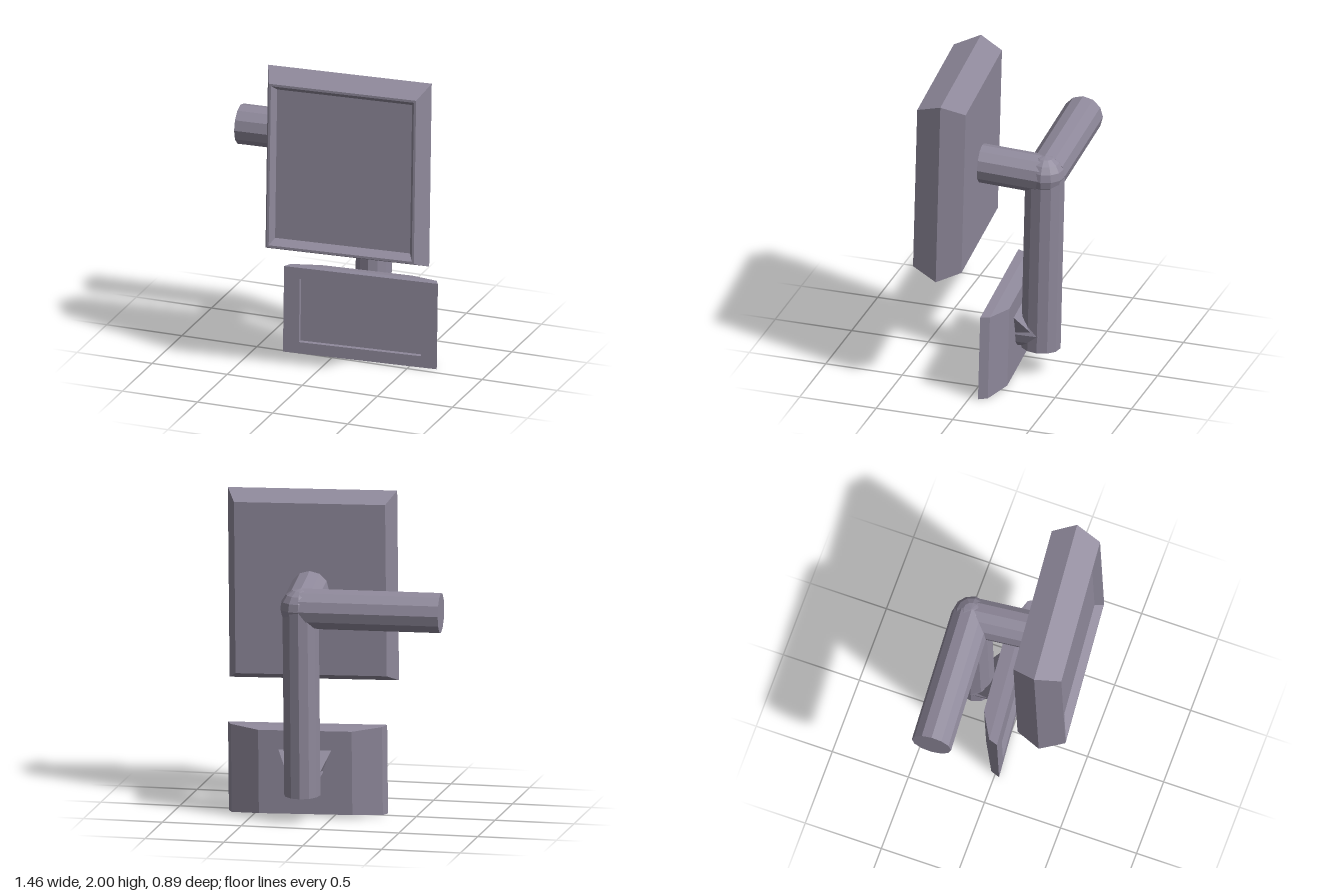
import * as THREE from 'three';
import { ConvexGeometry } from 'three/addons/geometries/ConvexGeometry.js';

const material = new THREE.MeshStandardMaterial({ color: 0x8f899b, flatShading: true });

function part(name, geometry) {
  const mesh = new THREE.Mesh(geometry, material);
  mesh.name = name;
  return mesh;
}

// Closed shell through rectangular loops [halfWidth, halfHeight, z], from recess floor to back
function rectLoft(cx, cy, loops) {
  const points = [], index = [];
  for (const [w, h, z] of loops) {
    for (const [sx, sy] of [[-1, -1], [1, -1], [1, 1], [-1, 1]]) {
      points.push(cx + sx * w, cy + sy * h, z);
    }
  }
  index.push(0, 1, 2, 0, 2, 3);
  for (let i = 0; i < loops.length - 1; i++) {
    for (let j = 0; j < 4; j++) {
      const a = i * 4 + j, b = i * 4 + (j + 1) % 4;
      index.push(a, a + 4, b + 4, a, b + 4, b);
    }
  }
  const e = (loops.length - 1) * 4;
  index.push(e, e + 2, e + 1, e, e + 3, e + 2);
  const g = new THREE.BufferGeometry();
  g.setAttribute('position', new THREE.Float32BufferAttribute(points, 3));
  g.setIndex(index);
  const flat = g.toNonIndexed();
  flat.computeVertexNormals();
  return flat;
}

// Faceted pipe between two points
function pipe(name, from, to, radius) {
  const a = new THREE.Vector3(...from), b = new THREE.Vector3(...to);
  const dir = b.clone().sub(a);
  const mesh = part(name, new THREE.CylinderGeometry(radius, radius, dir.length(), 12));
  mesh.position.copy(a).add(b).multiplyScalar(0.5);
  mesh.quaternion.setFromUnitVectors(new THREE.Vector3(0, 1, 0), dir.normalize());
  return mesh;
}

export function createModel() {
  const group = new THREE.Group();
  group.name = 'signalOnBracket';

  // Large head: sunken screen, thin rim, flared sides, flat back
  group.add(part('head', rectLoft(0.174, 1.39, [
    [0.436, 0.49, 0.395], [0.462, 0.525, 0.445], [0.476, 0.54, 0.445],
    [0.529, 0.604, 0.286], [0.472, 0.545, 0.137],
  ])));

  // Lower plate: straight recess in front, bevelled back
  group.add(part('lowerPlate', rectLoft(0.181, 0.287, [
    [0.395, 0.208, -0.03], [0.395, 0.208, 0.003], [0.497, 0.282, 0.003],
    [0.472, 0.28, -0.053], [0.292, 0.265, -0.133],
  ])));

  // Bracket pipes meeting in one elbow
  const elbow = [0.182, 1.364, -0.27];
  group.add(pipe('sideArm', [-0.698, 1.36, -0.297], elbow, 0.127));
  group.add(pipe('headArm', elbow, [0.178, 1.385, 0.16], 0.122));
  const post = pipe('post', [0.182, 0.178, -0.272], elbow, 0.126);
  post.scale.x = 0.9;
  group.add(post);
  group.add(pipe('plateArm', [0.182, 0.29, -0.28], [0.182, 0.29, -0.1], 0.113));
  const joint = part('elbow', new THREE.SphereGeometry(0.127, 12, 8));
  joint.position.set(...elbow);
  group.add(joint);

  // Gusset flaring from the post to the plate
  const gusset = [];
  for (const s of [-1, 1]) {
    for (const [x, y, z] of [[0.17, 0.44, -0.125], [0.11, 0.3, -0.125], [0.1, 0.3, -0.24]]) {
      gusset.push(new THREE.Vector3(0.182 + s * x, y, z));
    }
  }
  group.add(part('gusset', new ConvexGeometry(gusset)));

  // Slight lean of the whole assembly
  group.rotation.set(-0.026, 0.087, -0.006, 'YXZ');
  return group;
}
